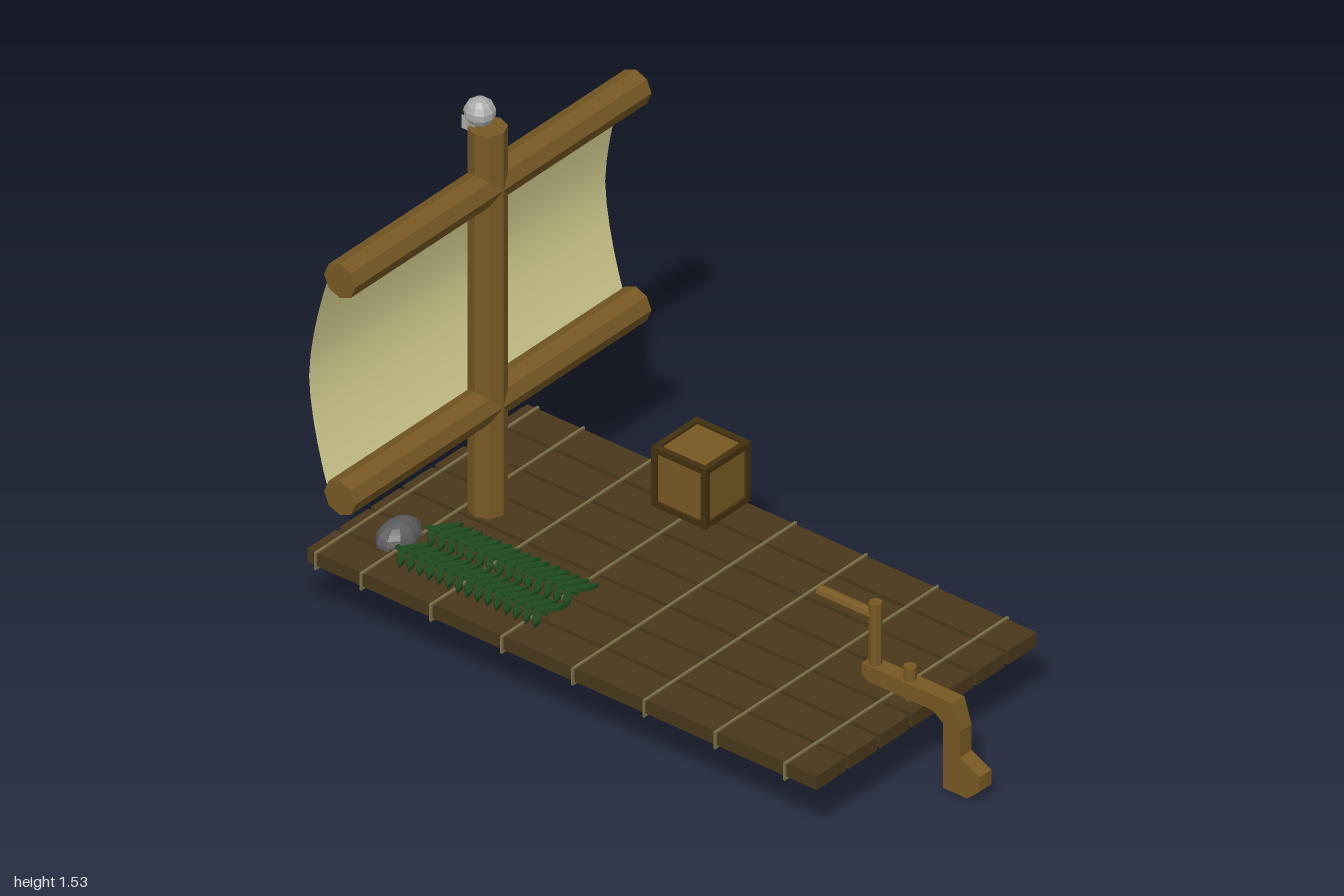
import * as THREE from 'three';

const paint = (color, flat = true) => new THREE.MeshStandardMaterial({ color, flatShading: flat, side: THREE.DoubleSide });
const MAT = {
  plank: paint(0x4a381b), wood: paint(0x785923), trim: paint(0x42300f), rope: paint(0x7a7148),
  sail: paint(0xd8d293, false), leaf: paint(0x1e4a20), stone: paint(0x5c5c5e), bone: paint(0xaaaaaa), dark: paint(0x111111),
};

export function createModel() {
  const model = new THREE.Group();
  const add = (name, geo, mat, x = 0, y = 0, z = 0, parent = model) => {
    const m = new THREE.Mesh(geo, mat);
    m.name = name;
    m.position.set(x, y, z);
    parent.add(m);
    return m;
  };
  const group = (name, x = 0, y = 0, z = 0) => {
    const g = new THREE.Group();
    g.name = name;
    g.position.set(x, y, z);
    model.add(g);
    return g;
  };
  const box = (w, h, d) => new THREE.BoxGeometry(w, h, d);

  // Deck: seven planks with gaps between them
  const deck = group('deck');
  for (let i = 0; i < 7; i++) {
    add('plank', box(1.79, 0.044, 0.122), MAT.plank, -0.105, 0.2, -0.003 + (i - 3) * 0.1355, deck);
  }

  // Rope loops lashed round the deck
  const ropes = group('ropes');
  for (const x of [-0.965, -0.805, -0.56, -0.31, -0.06, 0.19, 0.44, 0.685]) {
    for (const s of [-1, 1]) {
      add('ropeRun', box(0.007, 0.006, 0.952), MAT.rope, x, 0.2 + s * 0.0245, 0, ropes);
      add('ropeEnd', box(0.007, 0.055, 0.006), MAT.rope, x, 0.2, s * 0.473, ropes);
    }
  }

  // Mast and the two crossing spars
  const mx = -0.75;
  add('mast', new THREE.CylinderGeometry(0.055, 0.055, 1.24, 8), MAT.wood, mx, 0.835, 0);
  for (const y of [1.27, 0.57]) {
    add('spar', new THREE.CylinderGeometry(0.055, 0.055, 1.26, 8), MAT.wood, mx, y, 0).rotation.x = Math.PI / 2;
  }

  // Sail: a sheet bellied out toward -x between the spars
  const sail = new THREE.PlaneGeometry(1.26, 0.7, 1, 10);
  sail.rotateY(-Math.PI / 2);
  const sp = sail.attributes.position;
  for (let i = 0; i < sp.count; i++) {
    const t = sp.getY(i) / 0.35;
    sp.setX(i, -0.858 + 0.07 * Math.pow(Math.abs(t), 1.6));
  }
  sail.computeVertexNormals();
  add('sail', sail, MAT.sail, 0, 0.92, 0);

  // Skull on the masthead, looking toward -x
  const skull = group('skull', -0.78, 1.49, 0);
  add('cranium', new THREE.SphereGeometry(0.045, 10, 7), MAT.bone, 0.002, 0.002, 0, skull).scale.set(1.02, 0.95, 1);
  add('jaw', box(0.045, 0.042, 0.056), MAT.bone, -0.017, -0.033, 0, skull);
  for (const s of [-1, 1]) {
    add('eyeSocket', new THREE.SphereGeometry(0.012, 8, 6), MAT.dark, -0.036, -0.003, s * 0.018, skull);
  }
  add('noseHole', box(0.008, 0.01, 0.007), MAT.dark, -0.041, -0.021, 0, skull);

  // Crate: inset panels inside a dark edge frame
  const crate = group('crate', -0.31, 0.33, -0.375);
  add('cratePanels', box(0.176, 0.176, 0.176), MAT.wood, 0, 0, 0, crate);
  for (const a of [-1, 1]) {
    for (const b of [-1, 1]) {
      const p = a * 0.087, q = b * 0.087;
      add('crateEdge', box(0.192, 0.018, 0.018), MAT.trim, 0, p, q, crate);
      add('crateEdge', box(0.018, 0.192, 0.018), MAT.trim, p, 0, q, crate);
      add('crateEdge', box(0.018, 0.018, 0.192), MAT.trim, p, q, 0, crate);
    }
  }

  // Bed of two palm fronds
  const frond = [];
  const poly = pts => new THREE.Shape(pts.map(p => new THREE.Vector2(...p)));
  frond.push(poly([[0, -0.007], [0.53, -0.003], [0.53, 0.003], [0, 0.007]]));
  for (let i = 0; i < 15; i++) {
    const x = 0.01 + i * 0.034;
    for (const s of [-1, 1]) {
      const pts = [[x, 0], [x + 0.02, 0], [x + 0.052, s * 0.04], [x + 0.058, s * 0.072], [x + 0.028, s * 0.045]];
      frond.push(poly(pts));
    }
  }
  const frondGeo = new THREE.ExtrudeGeometry(frond, { depth: 0.012, bevelEnabled: false });
  frondGeo.rotateX(-Math.PI / 2);
  for (const z of [0.185, 0.315]) add('palmFrond', frondGeo, MAT.leaf, -0.81, 0.225, z);

  // Pillow stone at the head of the bed
  const rock = new THREE.SphereGeometry(1, 10, 6, 0, Math.PI * 2, 0, Math.PI * 0.55);
  rock.scale(0.055, 0.054, 0.08);
  add('pillowStone', rock, MAT.stone, -0.847, 0.222, 0.26);

  // Rudder: flat sawn board hooked over the end of the deck
  const rudder = group('rudder');
  const board = poly([[0.585, 0.285], [0.905, 0.285], [0.93, 0.205], [0.93, 0.122], [1, 0.087], [1, 0.04],
    [0.955, 0], [0.87, 0], [0.87, 0.21], [0.835, 0.235], [0.61, 0.235], [0.585, 0.25]]);
  add('rudderBoard', new THREE.ExtrudeGeometry(board, { depth: 0.05, bevelEnabled: false }), MAT.wood, 0, 0, -0.025, rudder);
  add('pivotPeg', new THREE.CylinderGeometry(0.019, 0.019, 0.125, 8), MAT.wood, 0.735, 0.263, 0, rudder);
  add('tillerPost', new THREE.CylinderGeometry(0.019, 0.019, 0.22, 8), MAT.wood, 0.613, 0.372, 0, rudder);
  add('tillerHandle', new THREE.CylinderGeometry(0.018, 0.018, 0.19, 8), MAT.wood, 0.512, 0.438, 0, rudder).rotation.z = Math.PI / 2;

  return model;
}
